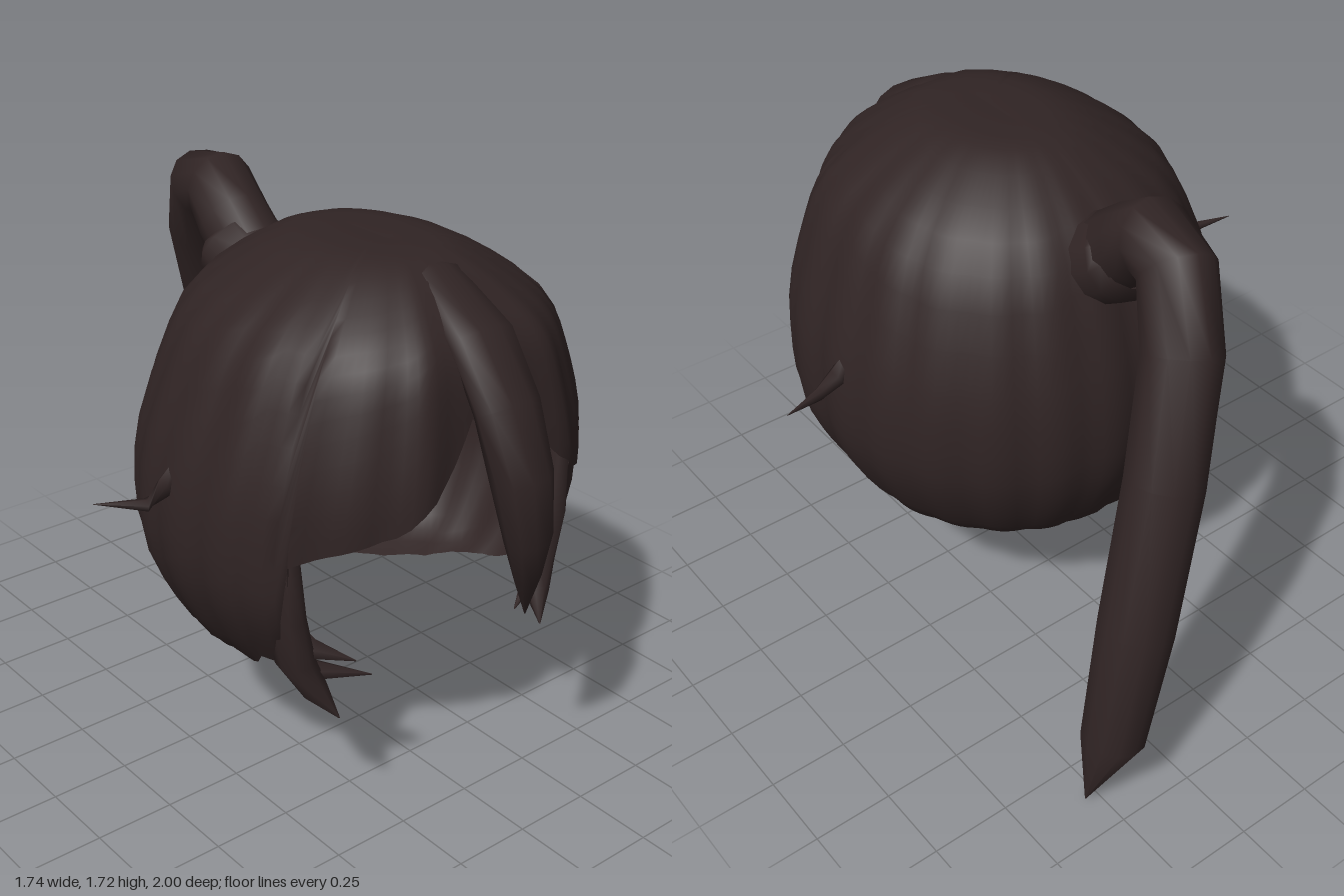
import * as THREE from 'three';

const hair = new THREE.MeshStandardMaterial({ color: 0x302424, side: THREE.DoubleSide });
hair.name = 'dark brown hair';

// Stack of closed rings joined into a smooth surface
function ringSurface(rings) {
  const n = rings[0].length, pos = [], idx = [];
  rings.forEach(r => r.forEach(p => pos.push(p.x, p.y, p.z)));
  for (let i = 0; i < rings.length - 1; i++)
    for (let j = 0; j < n; j++) {
      const a = i * n + j, b = i * n + (j + 1) % n;
      idx.push(a, a + n, b, b, a + n, b + n);
    }
  const g = new THREE.BufferGeometry();
  g.setAttribute('position', new THREE.Float32BufferAttribute(pos, 3));
  g.setIndex(idx);
  g.computeVertexNormals();
  return g;
}

function part(name, geometry) {
  const m = new THREE.Mesh(geometry, hair);
  m.name = name;
  return m;
}

// Tapered strand; each knot is [x, y, z, half width, half depth]
function strand(name, knots, sides = 10, mirror = 1) {
  const pts = knots.map(k => new THREE.Vector3(k[0] * mirror, k[1], k[2]));
  const rings = pts.map((p, i) => {
    const t = pts[Math.min(i + 1, pts.length - 1)].clone().sub(pts[Math.max(i - 1, 0)]).normalize();
    const across = new THREE.Vector3(1, 0, 0).addScaledVector(t, -t.x).normalize();
    const out = new THREE.Vector3().crossVectors(across, t);
    return Array.from({ length: sides }, (_, j) => {
      const a = -j / sides * Math.PI * 2;
      return p.clone().addScaledVector(across, Math.cos(a) * knots[i][3])
        .addScaledVector(out, Math.sin(a) * knots[i][4]);
    });
  });
  return part(name, ringSurface(rings));
}

// Hem height and plan radius by angle from the front, in degrees
const HEM = [[0, 1.27], [9, 1.3], [18, 1.14], [29, 1.02], [48, 0.94], [54, 0.92], [57, 0.53],
  [66, 0.53], [70, 0.47], [100, 0.41], [120, 0.395], [155, 0.395], [166, 0.415], [174, 0.405], [180, 0.425]];
const RADIUS = [[0, 0.6], [10, 0.615], [24, 0.68], [36, 0.675], [45, 0.67], [55, 0.69], [67, 0.69],
  [80, 0.66], [104, 0.655], [125, 0.645], [147, 0.64], [162, 0.635], [180, 0.625]];

function lookUp(table, deg) {
  const i = Math.max(1, table.findIndex(h => h[0] >= deg));
  const [a0, v0] = table[i - 1], [a1, v1] = table[i];
  return THREE.MathUtils.mapLinear(deg, a0, a1, v0, v1);
}

// Domed cap with swept fringe, open at the face and underneath
function capGeometry() {
  const profile = new THREE.CatmullRomCurve3([
    [0, 1.66], [0.18, 1.66], [0.34, 1.645], [0.58, 1.56], [0.77, 1.45], [0.88, 1.29], [0.975, 1.08],
    [1, 0.9], [0.98, 0.74], [0.89, 0.59], [0.78, 0.47], [0.66, 0.425], [0.5, 0.39],
  ].map(([s, y]) => new THREE.Vector3(s, y, 0))).getPoints(180);
  const rows = 20, cols = 120;
  const rings = Array.from({ length: rows + 1 }, () => []);
  for (let j = 0; j < cols; j++) {
    const deg = j * 360 / cols, a = THREE.MathUtils.degToRad(deg);
    const turn = deg > 180 ? 360 - deg : deg;
    const hem = lookUp(HEM, turn), plan = lookUp(RADIUS, turn);
    let end = profile.findIndex(p => p.y < hem);
    if (end < 0) end = profile.length - 1;
    for (let i = 0; i <= rows; i++) {
      const f = end * i / rows, k = Math.min(Math.floor(f), profile.length - 2);
      const p = profile[k].clone().lerp(profile[k + 1], f - k);
      // Shallow ridges suggest clumps; the plan shape fades to a circle at the crown
      const r = p.x * (THREE.MathUtils.lerp(0.64, plan, p.x) + 0.014 * p.x * Math.abs(Math.sin(a * 11)));
      const shift = 0.19 + 0.13 * (0.5 + 0.5 * Math.cos(a)) * Math.max(0, (p.y - 0.95) / 0.7);
      rings[i].push(new THREE.Vector3(Math.sin(a) * r, p.y, shift + Math.cos(a) * r));
    }
  }
  return ringSurface(rings);
}

export function createModel() {
  const model = new THREE.Group();
  model.name = 'hair';
  model.add(part('cap', capGeometry()));

  // Long strand hanging over the middle of the face
  model.add(strand('centreFringe', [
    [0, 1.645, 0.4, 0.01, 0.005], [0, 1.615, 0.55, 0.08, 0.03], [-0.01, 1.49, 0.74, 0.115, 0.05],
    [-0.02, 1.33, 0.86, 0.11, 0.065], [-0.01, 1.14, 0.92, 0.095, 0.08], [0.015, 0.95, 0.935, 0.075, 0.06],
    [0.05, 0.8, 0.91, 0.045, 0.03], [0.09, 0.65, 0.87, 0.002, 0.002]]));

  for (const side of [1, -1]) {
    const label = side > 0 ? 'left' : 'right';
    // Side lock and its forward pointing tips
    model.add(strand(label + 'Lock', [
      [0.53, 1.06, 0.54, 0.01, 0.01], [0.53, 0.92, 0.54, 0.03, 0.06], [0.52, 0.72, 0.53, 0.045, 0.08],
      [0.485, 0.55, 0.53, 0.05, 0.075], [0.45, 0.46, 0.58, 0.04, 0.04], [0.41, 0.38, 0.64, 0.002, 0.002]], 8, side));
    for (const [x, y] of [[0.29, 0.48], [0.35, 0.55]])
      model.add(strand(label + 'LockTip', [
        [0.51, y + 0.14, 0.48, 0.03, 0.03], [0.45, y + 0.04, 0.56, 0.035, 0.03],
        [x, y, 0.64, 0.002, 0.002]], 6, side));
    // Flyaway wisp sticking out at the side
    model.add(strand(label + 'Wisp', [
      [0.61, 1.06, 0.17, 0.04, 0.03], [0.665, 1.02, 0.17, 0.035, 0.026],
      [0.73, 0.985, 0.17, 0.02, 0.02], [0.87, 1.01, 0.115, 0.001, 0.001]], 6, side));
  }

  // Gathered collar at the root of the ponytail
  model.add(strand('ponytailCollar', [
    [0, 1.39, -0.24, 0.15, 0.14], [0, 1.46, -0.36, 0.145, 0.135], [0, 1.485, -0.385, 0.115, 0.11]], 12));
  // Ponytail arching back and falling towards the left
  model.add(strand('ponytail', [
    [0, 1.43, -0.28, 0.12, 0.12], [0.01, 1.53, -0.405, 0.115, 0.12], [0.03, 1.605, -0.505, 0.11, 0.12],
    [0.06, 1.58, -0.63, 0.11, 0.12], [0.13, 1.4, -0.745, 0.115, 0.12], [0.25, 1.08, -0.83, 0.115, 0.12],
    [0.38, 0.65, -0.885, 0.115, 0.115], [0.47, 0.27, -0.905, 0.1, 0.097], [0.54, 0, -0.87, 0.002, 0.002]], 12));
  return model;
}
